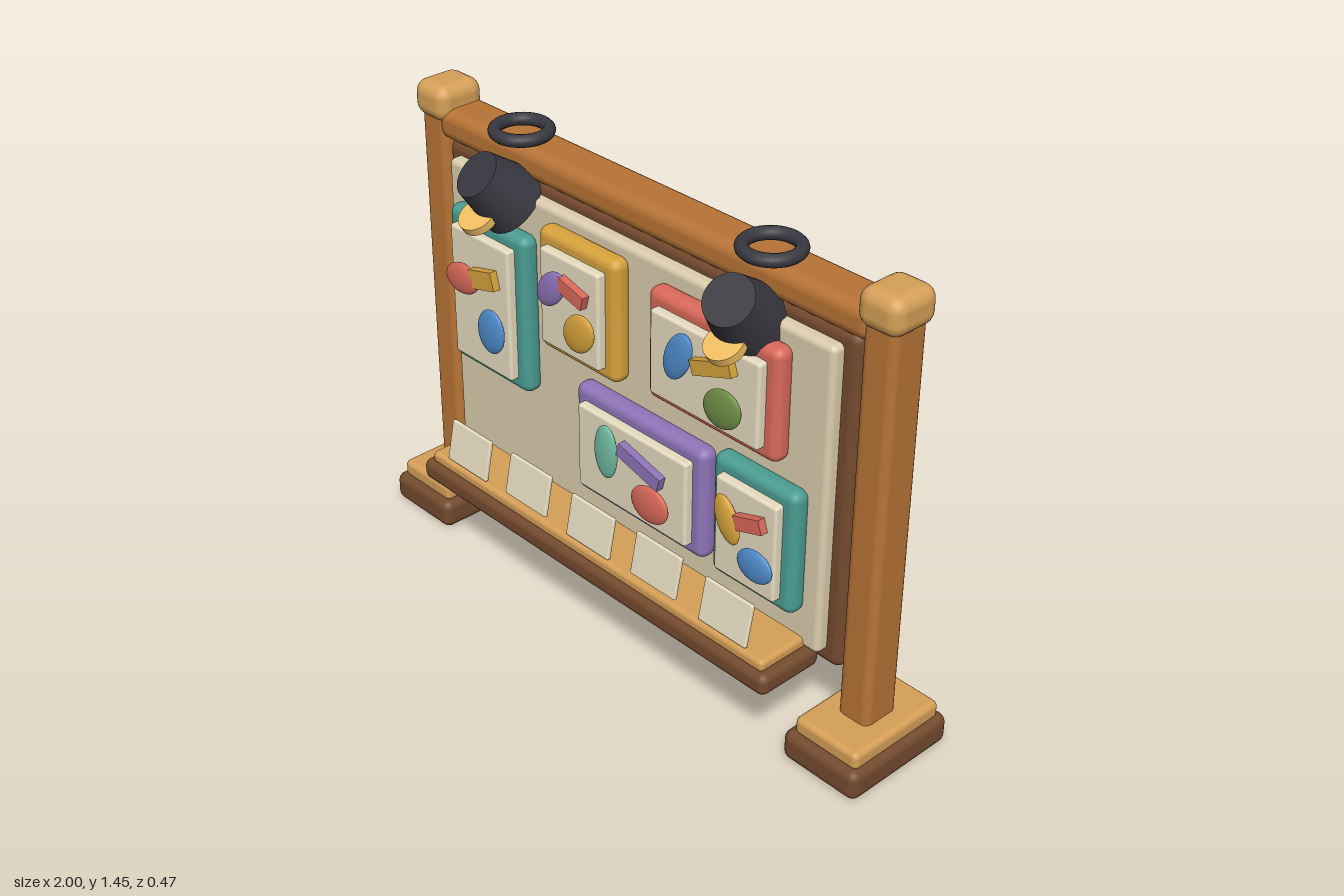
import * as THREE from 'three';
import { RoundedBoxGeometry } from 'three/addons/geometries/RoundedBoxGeometry.js';

const COLORS = {
  wood: 0xb87436, lightWood: 0xd6a058, darkWood: 0x744a2e, cream: 0xe6dcc0, board: 0xdccdae,
  metal: 0x383840, teal: 0x4a9d92, gold: 0xd6a23c, red: 0xd9695a, purple: 0x8f74b8,
  blue: 0x4f8ccb, green: 0x6f8f47, mint: 0x6fb8a0, glow: 0xf0bf62,
};
const mats = {};
for (const k in COLORS) mats[k] = new THREE.MeshStandardMaterial({ color: COLORS[k] });

export function createModel() {
  const model = new THREE.Group();

  const add = (name, geo, color, x, y, z, parent = model) => {
    const m = new THREE.Mesh(geo, mats[color]);
    m.name = name;
    m.position.set(x, y, z);
    parent.add(m);
    return m;
  };

  // Rounded box given by its extents on each axis
  const block = (name, color, [x0, x1], [y0, y1], [z0, z1], r, parent = model) =>
    add(name, new RoundedBoxGeometry(x1 - x0, y1 - y0, z1 - z0, 3, r), color,
      (x0 + x1) / 2, (y0 + y1) / 2, (z0 + z1) / 2, parent);

  // Cylinder between two points
  const rod = (name, color, a, b, ra, rb = ra, sides = 24) => {
    const p = new THREE.Vector3(...a), q = new THREE.Vector3(...b);
    const d = q.clone().sub(p);
    const m = add(name, new THREE.CylinderGeometry(rb, ra, d.length(), sides), color, 0, 0, 0);
    m.position.copy(p).add(q).multiplyScalar(0.5);
    m.quaternion.setFromUnitVectors(new THREE.Vector3(0, 1, 0), d.normalize());
    return m;
  };

  // Posts with feet and caps, back braces and lamps, mirrored
  for (const s of [-1, 1]) {
    const span = (a, b) => (s > 0 ? [a, b] : [-b, -a]);
    block('footBase', 'darkWood', span(0.732, 1), [0, 0.095], [-0.233, 0.155], 0.028);
    block('footTop', 'lightWood', span(0.755, 0.98), [0.085, 0.142], [-0.21, 0.13], 0.018);
    block('post', 'wood', span(0.812, 0.92), [0.12, 1.38], [-0.102, 0.025], 0.025);
    block('postCap', 'lightWood', span(0.795, 0.937), [1.34, 1.452], [-0.12, 0.042], 0.04);
    rod('backBrace', 'wood', [s * 0.07, 0.745, -0.187], [s * 0.66, 0.237, -0.187], 0.038);

    // Lamp: hanging ring, flared shade and glowing disc
    const ring = add('lampRing', new THREE.TorusGeometry(0.077, 0.019, 12, 32), 'metal', s * 0.485, 1.422, 0);
    ring.rotation.x = Math.PI / 2;
    rod('lampShade', 'metal', [s * 0.472, 1.225, 0.052], [s * 0.494, 1.333, 0.16], 0.106, 0.073, 28);
    rod('lampGlow', 'glow', [s * 0.49, 1.193, 0.157], [s * 0.49, 1.215, 0.17], 0.057);
  }

  // Top beam and the board
  block('topBeam', 'wood', [-0.84, 0.84], [1.29, 1.386], [-0.122, 0.028], 0.035);
  block('boardFrame', 'darkWood', [-0.805, 0.805], [0.262, 1.3], [-0.1, 0.018], 0.03);
  block('boardFront', 'board', [-0.758, 0.758], [0.31, 1.262], [0, 0.055], 0.018);
  block('boardBack', 'cream', [-0.735, 0.735], [0.34, 1.226], [-0.138, -0.09], 0.018);

  // Shelf with leaning cards
  block('shelfBase', 'darkWood', [-0.733, 0.733], [0.243, 0.312], [0.01, 0.236], 0.025);
  block('shelfTop', 'lightWood', [-0.706, 0.706], [0.305, 0.343], [0.015, 0.216], 0.014);
  for (let i = 0; i < 5; i++) {
    const card = add('card', new RoundedBoxGeometry(0.18, 0.132, 0.014, 2, 0.005), 'cream',
      (i - 2) * 0.273, i % 2 ? 0.419 : 0.41, 0.19);
    card.rotation.x = -0.2;
  }

  // Framed pictures: [frame colour, x range, y range, shapes]
  // shape: [kind, colour, x, y, width, height, tilt in degrees]
  const pictures = [
    ['teal', [-0.707, -0.365], [0.645, 1.153], [
      ['oval', 'red', -0.598, 0.962, 0.15, 0.098, 12], ['bar', 'gold', -0.502, 0.994, 0.105, 0.058, 15],
      ['oval', 'blue', -0.475, 0.834, 0.115, 0.145, -10]]],
    ['gold', [-0.308, 0.018], [0.845, 1.228], [
      ['oval', 'purple', -0.201, 1.084, 0.145, 0.085, 48], ['bar', 'red', -0.115, 1.105, 0.105, 0.043, -15],
      ['oval', 'gold', -0.088, 0.988, 0.14, 0.108, 45]]],
    ['red', [0.138, 0.625], [0.873, 1.214], [
      ['oval', 'blue', 0.303, 1.084, 0.165, 0.088, 65], ['bar', 'gold', 0.431, 1.105, 0.15, 0.043, 20],
      ['oval', 'green', 0.469, 0.998, 0.14, 0.115, 25]]],
    ['purple', [-0.158, 0.366], [0.434, 0.79], [
      ['oval', 'mint', 0.019, 0.654, 0.09, 0.172, 0], ['bar', 'purple', 0.158, 0.672, 0.17, 0.043, -15],
      ['oval', 'red', 0.198, 0.564, 0.148, 0.116, 10]]],
    ['teal', [0.394, 0.702], [0.429, 0.817], [
      ['oval', 'gold', 0.497, 0.668, 0.15, 0.08, 112], ['bar', 'red', 0.579, 0.694, 0.098, 0.043, 18],
      ['oval', 'blue', 0.603, 0.571, 0.128, 0.1, 5]]],
  ];
  const inset = ([a, b]) => [a + 0.042, b - 0.042];
  for (const [color, xs, ys, shapes] of pictures) {
    const picture = new THREE.Group();
    picture.name = 'picture';
    model.add(picture);
    block('pictureFrame', color, xs, ys, [0.042, 0.106], 0.028, picture);
    block('picturePaper', 'cream', inset(xs), inset(ys), [0.095, 0.133], 0.009, picture);
    for (const [kind, tint, x, y, w, h, tilt] of shapes) {
      const oval = kind === 'oval';
      const geo = oval ? new THREE.SphereGeometry(0.5, 28, 16) : new THREE.BoxGeometry(1, 1, 1);
      const m = add(oval ? 'ovalShape' : 'barShape', geo, tint, x, y, oval ? 0.147 : 0.144, picture);
      m.scale.set(w, h, oval ? 0.032 : 0.026);
      m.rotation.z = THREE.MathUtils.degToRad(tilt);
    }
  }

  // Back: crossbar, and a metal rail with clamps and hanging rods
  block('crossbar', 'darkWood', [-0.665, 0.665], [0.73, 0.808], [-0.225, -0.135], 0.03);
  rod('rail', 'metal', [-0.655, 1.195, -0.178], [0.655, 1.195, -0.178], 0.02, 0.02, 16);
  for (const x of [-0.473, 0, 0.473]) {
    block('clamp', 'metal', [x - 0.03, x + 0.03], [1.152, 1.234], [-0.225, -0.165], 0.018);
    rod('hangingRod', 'wood', [x, 0.39, -0.153], [x, 1.18, -0.153], 0.01, 0.01, 12);
  }

  return model;
}
